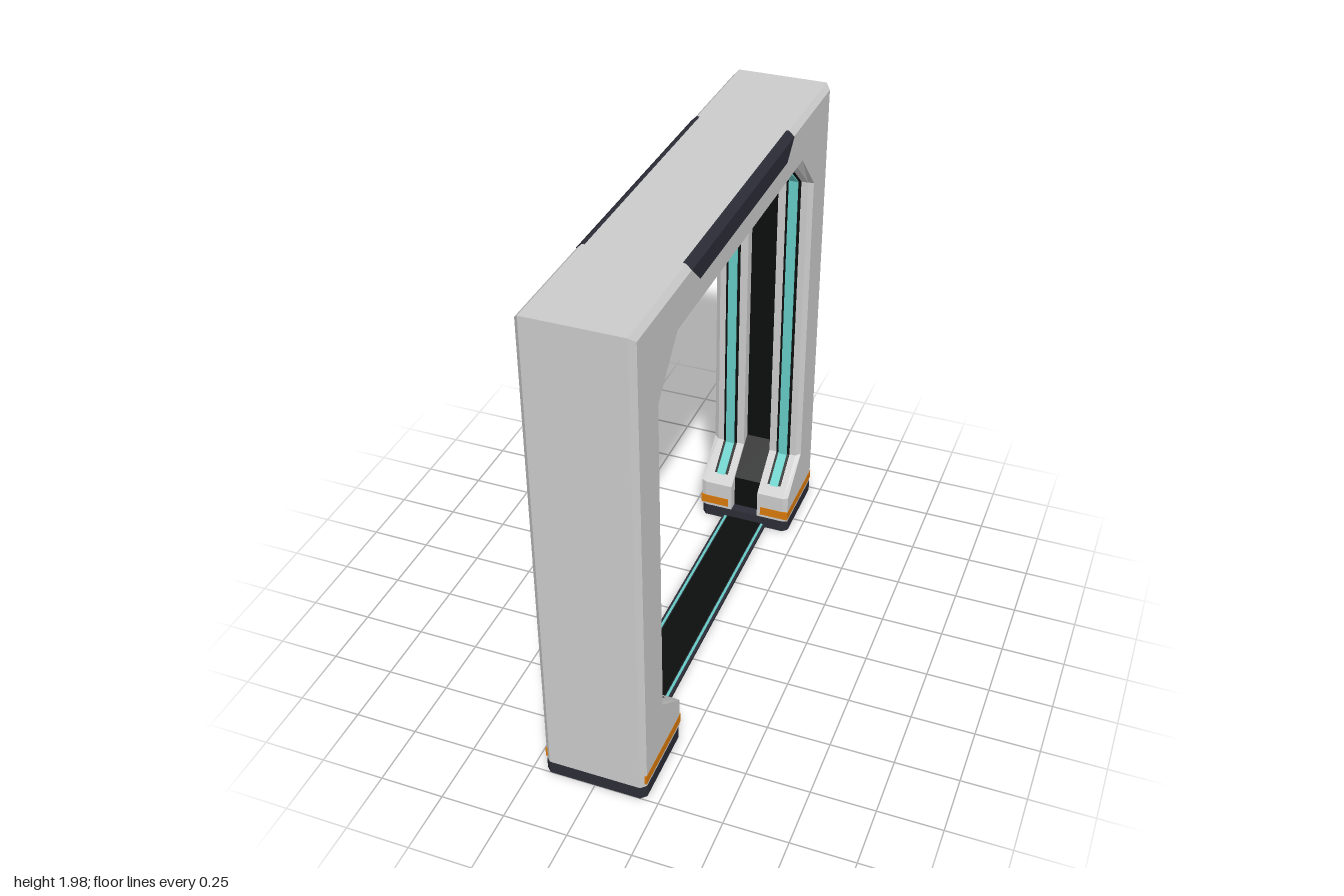
import * as THREE from 'three';

const mat = (color) => new THREE.MeshStandardMaterial({ color, flatShading: true });

// Joins counter-clockwise [z, y] outlines placed at rising x, and caps both ends
function loft(rings) {
  const out = [];
  const put = (x, p) => out.push(x, p[1], p[0]);
  for (let i = 0; i < rings.length - 1; i++) {
    const [x0, r0] = rings[i], [x1, r1] = rings[i + 1];
    r0.forEach((a, j) => {
      const k = (j + 1) % r0.length;
      put(x0, a); put(x1, r1[k]); put(x0, r0[k]);
      put(x0, a); put(x1, r1[j]); put(x1, r1[k]);
    });
  }
  const cap = ([x, r], flip) => {
    const faces = THREE.ShapeUtils.triangulateShape(r.map((p) => new THREE.Vector2(...p)), []);
    for (const f of faces) (flip ? [f[0], f[2], f[1]] : f).forEach((i) => put(x, r[i]));
  };
  cap(rings[0], false);
  cap(rings[rings.length - 1], true);
  const g = new THREE.BufferGeometry();
  g.setAttribute('position', new THREE.Float32BufferAttribute(out, 3));
  g.computeVertexNormals();
  return g;
}

// Arch outline from the +z halves of its outer and inner edges, bottom to top
const mirrored = (half) => half.map(([z, y]) => [-z, y]);
const arch = (outer, inner) => [
  ...outer, ...mirrored(outer).reverse(), ...mirrored(inner), ...[...inner].reverse(),
];
// Moves an inner edge into the opening by d
const inset = (half, d) => half.map(([z, y], i) => [z - d, i === half.length - 1 ? y - d : y]);
// Same rings on both sides of x = 0
const bothSides = (rings) => [...rings.map(([x, r]) => [-x, r]).reverse(), ...rings];

export function createModel() {
  const group = new THREE.Group();
  const grey = mat(0xcccccc), slate = mat(0x2b2d36), black = mat(0x0c0e0e);
  const teal = mat(0x66ccc6), orange = mat(0xd97a0b);
  const add = (name, geometry, material) => {
    const mesh = new THREE.Mesh(geometry, material);
    mesh.name = name;
    group.add(mesh);
    return mesh;
  };

  // Frame: chamfered arch with a channel around the inside
  const outer = [[1, 0.055], [1, 1.98]];
  const outerCut = [[0.98, 0.055], [0.98, 1.96]];
  const lip = [[0.648, 0.055], [0.648, 0.18], [0.805, 0.31], [0.805, 1.64], [0.645, 1.78]];
  const lipCut = [[0.655, 0.055], [0.655, 0.185], [0.82, 0.315], [0.82, 1.635], [0.65, 1.81]];
  const floor = [[0.698, 0.055], [0.698, 0.205], [0.855, 0.333], [0.855, 1.66], [0.665, 1.83]];
  add('frame', loft(bothSides([
    [0.06, arch(outer, floor)],
    [0.06, arch(outer, lip)],
    [0.18, arch(outer, lip)],
    [0.2, arch(outerCut, lipCut)],
  ])), grey);

  // Black lining of the channel
  const lining = arch(inset(floor, -0.005), inset(floor, 0.006));
  add('channelLining', loft([[-0.06, lining], [0.06, lining]]), black);

  // Light strips on dark backings, either side of the channel
  const stripPath = [[0.69, 0.214], ...lip.slice(2)];
  const strip = (d) => arch(inset(stripPath, -0.005), inset(stripPath, d));
  for (const s of [-1, 1]) {
    const band = (x, w, d) => loft([[s * x - w / 2, strip(d)], [s * x + w / 2, strip(d)]]);
    add('stripBacking', band(0.123, 0.06, 0.003), black);
    add('lightStrip', band(0.123, 0.038, 0.01), teal);
  }

  // Dark panels on the sides of the top beam
  const trapezoid = (top) => [[-0.45, 1.89], [0.45, 1.89], [0.525, 1.96], [0.525, top], [-0.525, top], [-0.525, 1.96]];
  const panel = [[0.17, trapezoid(1.981)], [0.181, trapezoid(1.981)], [0.202, trapezoid(1.961)]];
  add('leftTopPanel', loft(panel), slate);
  add('rightTopPanel', loft(panel.map(([x, r]) => [-x, r]).reverse()), slate);

  // Feet with cut corners, and orange bands above them
  const c = 0.02, hx = 0.2, hz = 0.176;
  const footShape = new THREE.Shape([
    [hx, hz - c], [hx - c, hz], [c - hx, hz], [-hx, hz - c],
    [-hx, c - hz], [c - hx, -hz], [hx - c, -hz], [hx, c - hz],
  ].map((p) => new THREE.Vector2(...p)));
  const footGeometry = new THREE.ExtrudeGeometry(footShape, { depth: 0.055, bevelEnabled: false });
  footGeometry.rotateX(-Math.PI / 2);
  for (const sz of [-1, 1]) {
    add('foot', footGeometry, slate).position.z = sz * 0.824;
    for (const sx of [-1, 1]) {
      const band = add('orangeBand', new THREE.BoxGeometry(0.126, 0.04, 0.341), orange);
      band.position.set(sx * 0.138, 0.088, sz * 0.8165);
    }
  }

  // Threshold across the ground
  const bar = (name, w, y0, y1, x, material) => {
    const mesh = add(name, new THREE.BoxGeometry(w, y1 - y0, 1.32), material);
    mesh.position.set(x, (y0 + y1) / 2, 0);
  };
  bar('threshold', 0.2, 0, 0.013, 0, slate);
  bar('thresholdInlay', 0.15, 0.01, 0.016, 0, black);
  for (const s of [-1, 1]) bar('thresholdLight', 0.01, 0.01, 0.016, s * 0.085, teal);

  return group;
}
